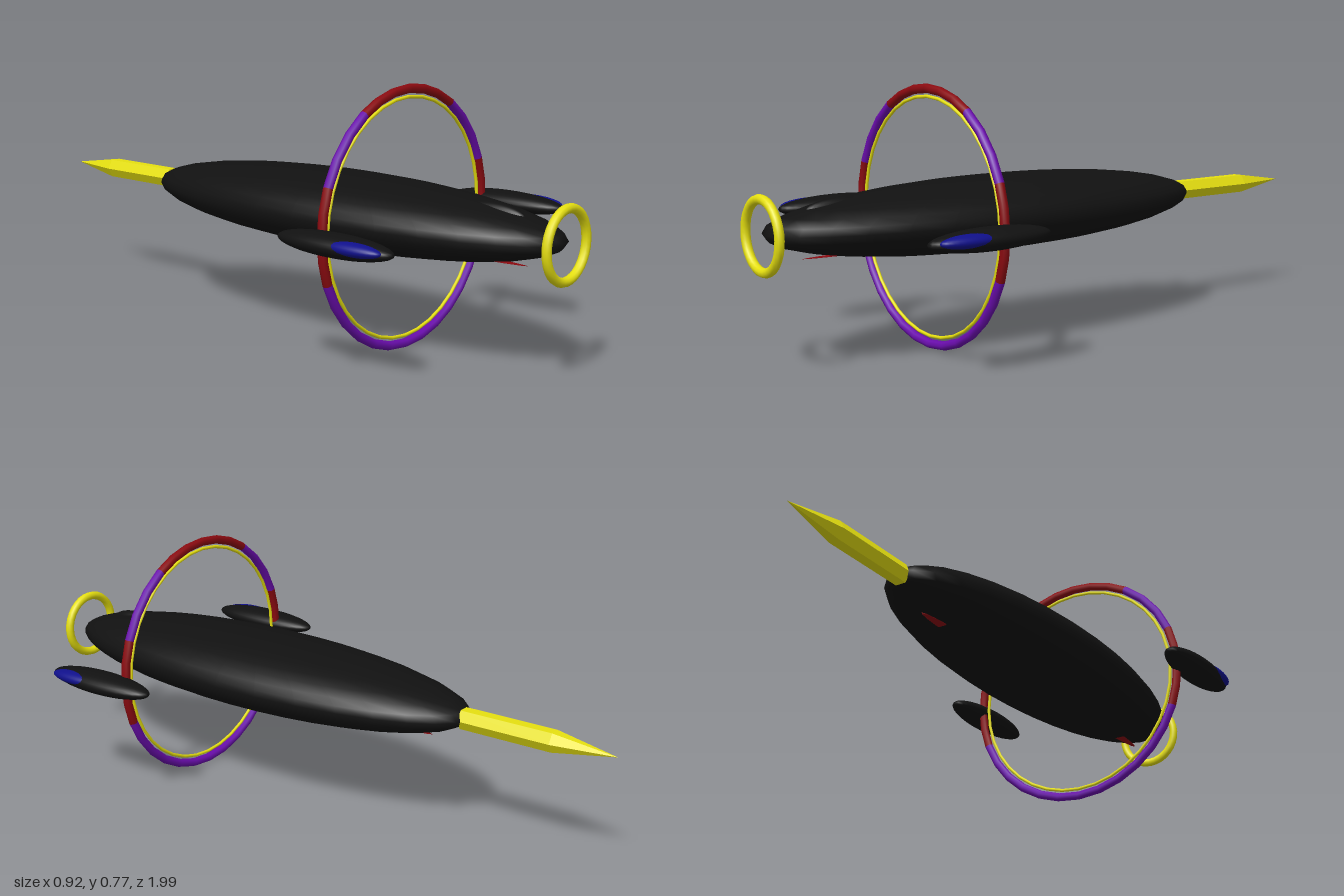
import * as THREE from 'three';

const paint = (color, flatShading = false) =>
  new THREE.MeshStandardMaterial({ color, flatShading });

const BLACK = paint(0x111111);
const YELLOW = paint(0xe6e010);
const YELLOW_FLAT = paint(0xe6e010, true);
const RED = paint(0x8b0a10);
const PURPLE = paint(0x6a0dad);
const BLUE = paint(0x10108b);
const AXIS_Y = 0.385;

export function createModel() {
  const model = new THREE.Group();
  model.name = 'airship';

  const add = (name, geometry, material, x, y, z) => {
    const mesh = new THREE.Mesh(geometry, material);
    mesh.name = name;
    mesh.position.set(x, y, z);
    model.add(mesh);
    return mesh;
  };
  const ellipsoid = (name, material, [x, y, z], [rx, ry, rz]) =>
    add(name, new THREE.SphereGeometry(1, 32, 16).scale(rx, ry, rz), material, x, y, z);

  // Hull with a slight canopy on top and a thin keel strip below
  ellipsoid('hull', BLACK, [0, AXIS_Y, 0.225], [0.229, 0.108, 0.755]);
  ellipsoid('canopy', BLACK, [0, 0.435, 0.75], [0.026, 0.035, 0.11]);
  ellipsoid('keelStrip', RED, [0, 0.31, 0.23], [0.03, 0.003, 0.64]);

  // Nose ring
  add('noseRing', new THREE.TorusGeometry(0.0985, 0.0135, 10, 32), YELLOW, 0, AXIS_Y, 0.986);

  // Six-sided tail spike: straight shaft and pointed tip
  const hexPrism = (name, rBack, rFront, zBack, zFront) => {
    const g = new THREE.CylinderGeometry(rFront, rBack, zFront - zBack, 6);
    g.rotateY(Math.PI / 6).rotateX(Math.PI / 2);
    add(name, g, YELLOW_FLAT, 0, AXIS_Y, (zFront + zBack) / 2);
  };
  hexPrism('tailShaft', 0.033, 0.033, -0.8, -0.51);
  hexPrism('tailTip', 0, 0.033, -0.99, -0.8);

  // Large hoop in alternating coloured arcs (degrees from +x), with an inner trim
  const arcs = [
    [-21, 21, RED], [21, 58, PURPLE], [58, 122, RED],
    [122, 159, PURPLE], [159, 201, RED], [201, 339, PURPLE],
  ];
  for (const [from, to, material] of arcs) {
    const sweep = THREE.MathUtils.degToRad(to - from);
    const steps = Math.max(3, Math.round((to - from) / 11.25));
    const arc = add('hoopArc', new THREE.TorusGeometry(0.3705, 0.0135, 8, steps, sweep),
      material, 0, AXIS_Y, 0.463);
    arc.rotation.z = THREE.MathUtils.degToRad(from);
  }
  add('hoopTrim', new THREE.TorusGeometry(0.3475, 0.005, 8, 36), YELLOW, 0, AXIS_Y, 0.463);

  // Side pods with blue outer windows
  for (const [side, s] of [['left', 1], ['right', -1]]) {
    ellipsoid(`${side}Pod`, BLACK, [s * 0.404, AXIS_Y, 0.535], [0.057, 0.032, 0.195]);
    ellipsoid(`${side}PodWindow`, BLUE, [s * 0.43, 0.39, 0.61], [0.031, 0.02, 0.1]);
  }

  return model;
}
